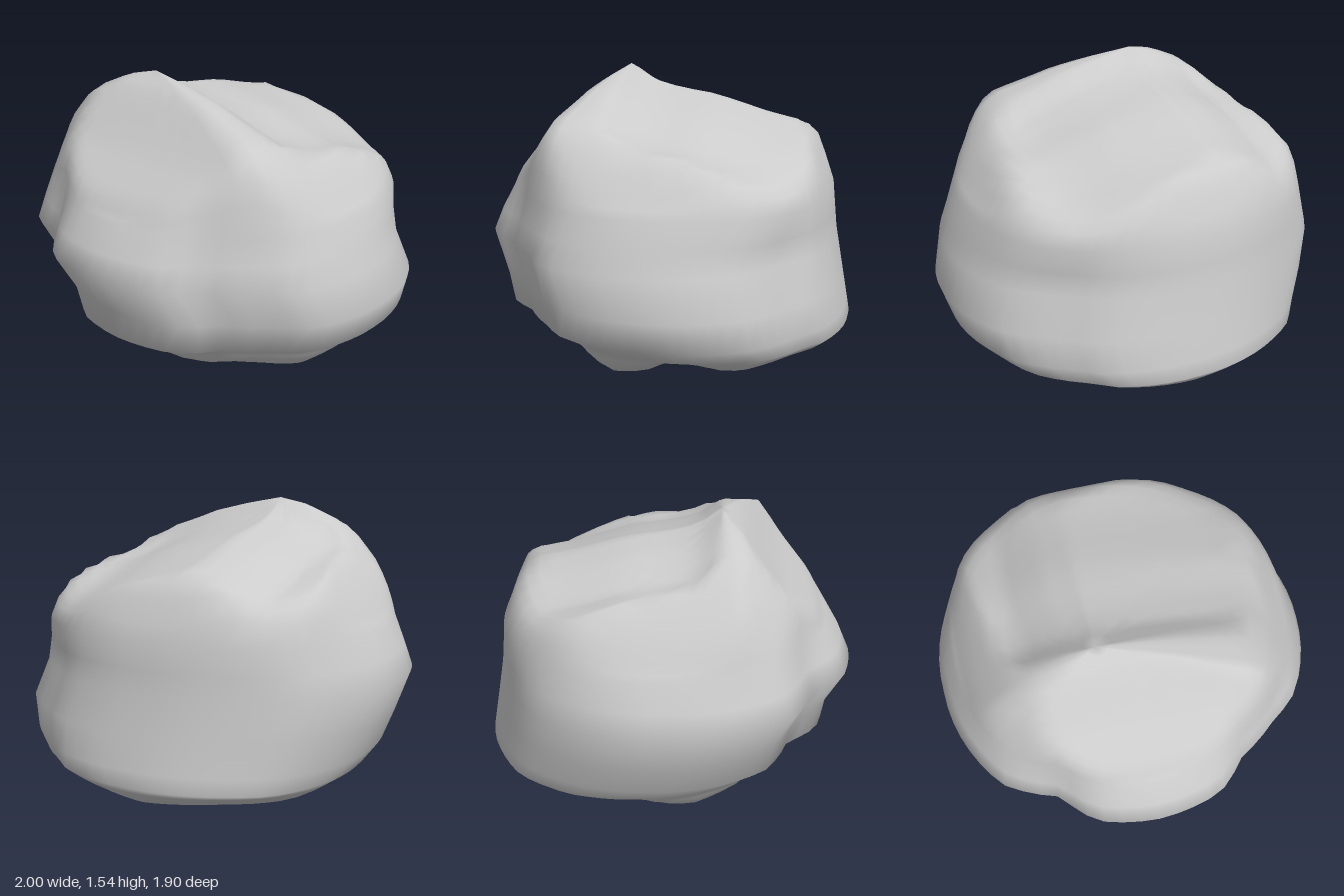
import * as THREE from 'three';

const { lerp, clamp, smoothstep, radToDeg } = THREE.MathUtils;

// Linear interpolation through [key, value] pairs
function sample(table, t) {
  if (t <= table[0][0]) return table[0][1];
  for (let i = 1; i < table.length; i++) {
    const [k0, v0] = table[i - 1], [k1, v1] = table[i];
    if (t <= k1) return v0 + (v1 - v0) * (t - k0) / (k1 - k0);
  }
  return table[table.length - 1][1];
}

// Extents of the boulder's wall by height
const X_MIN = [[0.19, -0.78], [0.33, -0.88], [0.52, -0.95], [0.71, -1], [1, -0.88]];
const X_MAX = [[0.2, 0.76], [0.35, 0.95], [0.51, 1], [0.7, 0.94], [0.9, 0.87], [1, 0.84]];
const Z_MAX = [[0.2, 0.55], [0.34, 0.84], [0.5, 0.86], [0.69, 0.96], [0.87, 0.88], [1.05, 0.75]];
const Z_MIN = [[0.18, -0.85], [0.26, -0.95], [0.45, -0.92], [0.65, -0.87], [0.85, -0.85], [1.05, -0.83]];

// Outline of the waist: radius by angle in degrees, with hollows beside the front bulge
const WAIST = [[0, 1], [27, 0.99], [40, 0.93], [56, 0.91], [69, 0.99], [90, 1], [109, 0.99], [123, 0.9],
  [141, 0.99], [180, 1], [223, 1.06], [238, 1.03], [270, 1], [300, 1.015], [306, 0.99], [328, 1.03], [360, 1]];

// Top height across x (along the ridge) and along z (front slope, ridge, back)
const TOP_X = [[-0.88, 1], [-0.78, 1.15], [-0.63, 1.34], [-0.51, 1.43], [-0.36, 1.5], [-0.2, 1.54], [0, 1.5],
  [0.2, 1.45], [0.33, 1.4], [0.51, 1.34], [0.62, 1.26], [0.73, 1.13], [0.84, 1]];
const TOP_Z = [[-0.85, 0.9], [-0.83, 1.05], [-0.75, 1.2], [-0.65, 1.27], [-0.5, 1.3], [-0.2, 1.39], [0, 1.42],
  [0.15, 1.46], [0.27, 1.54], [0.37, 1.47], [0.57, 1.22], [0.75, 1.05], [0.88, 0.87]];
// Top height along the diagonal towards the right front shoulder
const SHOULDER = [[0.4, 1.54], [0.65, 1.4], [0.76, 1.24], [0.83, 1.1], [0.92, 0.95]];
const PEAK = [-0.2, 0.27];

// Underside height by z: two lobes with a groove between them
const UNDERSIDE = [[-0.95, 0.13], [-0.7, 0.1], [-0.48, 0.06], [-0.38, 0.07], [-0.2, 0.15], [-0.02, 0.04],
  [0.15, 0], [0.37, 0.06], [0.45, 0.06], [0.55, 0.18], [0.85, 0.3]];

const SEGMENTS = 64;
const WALL = [0.95, 0.82, 0.7, 0.51, 0.35, 0.27];
const STEPS = [0.97, 0.93, 0.88, 0.82, 0.75, 0.67, 0.58, 0.49, 0.4, 0.31, 0.22, 0.14, 0.07];
const TOP_RIM = WALL[0], LOW_RIM = WALL[WALL.length - 1];

// Point on the horizontal section at height y
function sectionPoint(y, angle) {
  const x0 = sample(X_MIN, y), x1 = sample(X_MAX, y), z0 = sample(Z_MIN, y), z1 = sample(Z_MAX, y);
  const c = Math.cos(angle), s = Math.sin(angle), n = 2.6;
  const square = Math.pow(Math.abs(c) ** n + Math.abs(s) ** n, -1 / n);
  const squareness = smoothstep(y, 0.7, 1.1 + 0.2 * Math.max(s, 0));
  const r = lerp(sample(WAIST, radToDeg(angle)), square, squareness);
  return [(x0 + x1) / 2 + r * c * (x1 - x0) / 2, (z0 + z1) / 2 + r * s * (z1 - z0) / 2];
}

// The tilted top is cut off by the front slope, the back, both sides and one shoulder
function topY(x, z) {
  const tilt = sample(TOP_X, clamp(x, -0.55, 0.5)) + sample(TOP_Z, clamp(z, -0.65, PEAK[1])) - 1.54;
  const shoulder = sample(SHOULDER, (z - x) * Math.SQRT1_2);
  return Math.max(TOP_RIM, Math.min(tilt, sample(TOP_X, x), sample(TOP_Z, z), shoulder));
}

const undersideY = (x, z) => Math.min(LOW_RIM, sample(UNDERSIDE, z) + 0.13 * Math.abs(x));

function boulderGeometry() {
  const positions = [PEAK[0], topY(...PEAK), PEAK[1]];
  const angles = Array.from({ length: SEGMENTS }, (_, j) => j / SEGMENTS * Math.PI * 2);

  // Ring that shrinks from a rim towards a centre while following a height function
  function capRing(rim, [cx, cz], s, height, power) {
    for (const a of angles) {
      const [rx, rz] = sectionPoint(rim, a);
      const x = lerp(cx, rx, s), z = lerp(cz, rz, s);
      positions.push(x, lerp(height(x, z), rim, s ** power), z);
    }
  }

  // Top, from the peak outwards
  for (const s of [...STEPS].reverse()) capRing(TOP_RIM, PEAK, s, topY, 26);
  // Wall, downwards
  for (const y of WALL) {
    for (const a of angles) {
      const [x, z] = sectionPoint(y, a);
      positions.push(x, y, z);
    }
  }
  // Underside, inwards
  const base = [0, 0];
  for (const s of STEPS) capRing(LOW_RIM, base, s, undersideY, 9);
  positions.push(base[0], undersideY(...base), base[1]);

  const rows = WALL.length + STEPS.length * 2;
  const at = (i, j) => 1 + i * SEGMENTS + j % SEGMENTS;
  const last = 1 + rows * SEGMENTS;
  const index = [];
  for (let j = 0; j < SEGMENTS; j++) {
    index.push(0, at(0, j + 1), at(0, j));
    for (let i = 0; i < rows - 1; i++) {
      index.push(at(i, j), at(i, j + 1), at(i + 1, j + 1), at(i, j), at(i + 1, j + 1), at(i + 1, j));
    }
    index.push(at(rows - 1, j), at(rows - 1, j + 1), last);
  }

  const geometry = new THREE.BufferGeometry();
  geometry.setAttribute('position', new THREE.Float32BufferAttribute(positions, 3));
  geometry.setIndex(index);
  geometry.computeVertexNormals();
  return geometry;
}

export function createModel() {
  const group = new THREE.Group();
  group.name = 'rock';
  const boulder = new THREE.Mesh(boulderGeometry(), new THREE.MeshStandardMaterial({ color: 0xcccccc }));
  boulder.name = 'boulder';
  group.add(boulder);
  return group;
}
